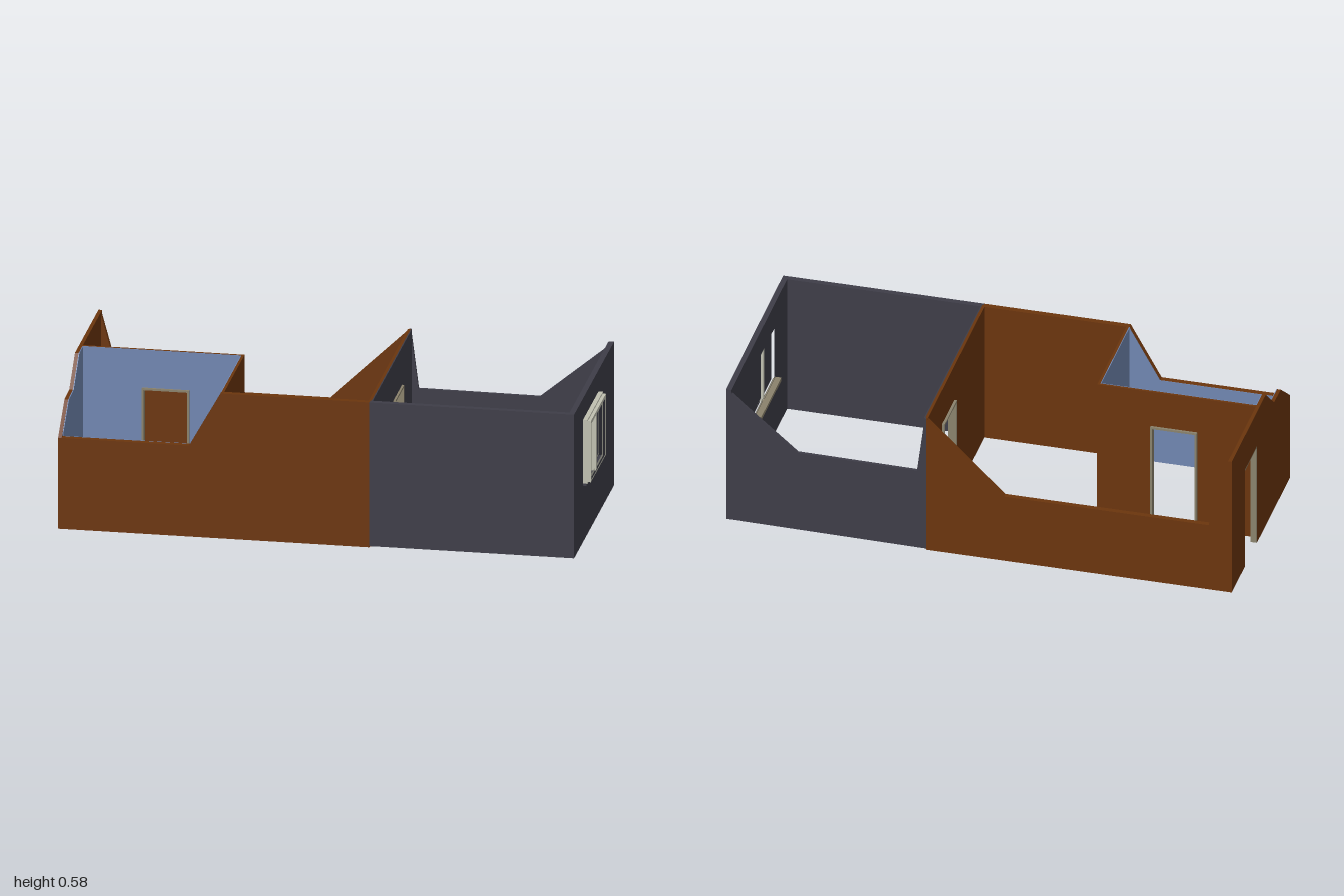
import * as THREE from 'three';

export function createModel() {
  const model = new THREE.Group();
  model.name = 'ruinedHouse';

  const mat = (name, color) => {
    const m = new THREE.MeshStandardMaterial({ color });
    m.name = name;
    return m;
  };
  const brown = mat('brownWall', 0x6b350d);
  const dark = mat('darkWall', 0x3e3d48);
  const blue = mat('bluePlaster', 0x7086b0);
  const pale = mat('paleFrame', 0xc0c0b0);
  const tan = mat('tanTrim', 0x8a826c);

  const H = 0.577, Z = 0.427, DOOR = 0.427;

  const add = (name, geometry, material) => {
    const mesh = new THREE.Mesh(geometry, material);
    mesh.name = name;
    model.add(mesh);
    return mesh;
  };

  // Box given by its minimum and maximum corners
  const box = (name, material, x0, x1, y0, y1, z0, z1) => {
    const g = new THREE.BoxGeometry(x1 - x0, y1 - y0, z1 - z0);
    g.translate((x0 + x1) / 2, (y0 + y1) / 2, (z0 + z1) / 2);
    return add(name, g, material);
  };

  const slab = (points, depth, holes = []) => {
    const toVec = (list) => list.map(([u, v]) => new THREE.Vector2(u, v));
    const shape = new THREE.Shape(toVec(points));
    for (const h of holes) shape.holes.push(new THREE.Path(toVec(h)));
    return new THREE.ExtrudeGeometry(shape, { depth, bevelEnabled: false });
  };

  // Wall running along x: outline of [x, y], from z0 to z1
  const wallX = (name, material, points, z0, z1) =>
    add(name, slab(points, z1 - z0).translate(0, 0, z0), material);

  // Wall running along z: outline of [z, y], from x0 to x1
  const wallZ = (name, material, points, x0, x1, holes = []) => {
    const flip = (list) => list.map(([z, y]) => [-z, y]);
    const g = slab(flip(points), x1 - x0, holes.map(flip));
    return add(name, g.rotateY(Math.PI / 2).translate(x0, 0, 0), material);
  };

  const rect = (a, b, y0, y1) => [[a, y0], [b, y0], [b, y1], [a, y1]];
  // Bottom edge of a wall interrupted by a doorway from d0 to d1
  const doorway = (a, d0, d1, b) =>
    [[a, 0], [d0, 0], [d0, DOOR], [d1, DOOR], [d1, 0], [b, 0]];

  // Front wall, with the broken corner on the brown part
  wallX('frontWallBrown', brown,
    [[-1, 0], [0.19, 0], [0.19, H], [-0.38, H], [-0.5, 0.362], [-1, 0.362]], Z - 0.022, Z);
  box('frontWallDark', dark, 0.19, 0.97, 0.005, H, Z - 0.022, Z);

  // Back wall, broken down in the middle of both parts
  wallX('backWallBrown', brown,
    [[-1, 0], [0.19, 0], [0.19, H], [-0.115, 0.283], [-0.91, 0.283], [-0.99, H], [-1, H]],
    -Z, -Z + 0.02);
  const backDark = wallX('backWallDark', dark,
    [[0.19, 0.005], [0.97, 0.005], [0.97, H], [0.69, 0.343], [0.225, 0.343], [0.195, H], [0.19, H]],
    -Z, -Z + 0.012);
  // The dark part runs slightly askew
  const p = backDark.geometry.attributes.position;
  for (let i = 0; i < p.count; i++) p.setZ(i, p.getZ(i) + 0.013 * (p.getX(i) - 0.19) / 0.78);
  backDark.geometry.computeVertexNormals();

  // Left-hand end wall with door and crumbled top
  const crumble = [[0.29, 0.468], [0.19, 0.472], [0.07, H]];
  wallZ('endWallBrown', brown,
    [...doorway(-Z, -0.235, -0.055, Z), [Z, 0.362], ...crumble, [-Z, H]], -1, -0.986);

  // Window end wall
  const opening = rect(-0.068, 0.218, 0.25, 0.472);
  wallZ('endWallDark', dark, rect(-Z + 0.012, Z, 0.005, H), 0.95, 0.971, [opening]);

  // Dividing wall: brown on one side, dark on the other
  const divider = [...doorway(-Z + 0.006, -0.21, -0.035, Z - 0.01), [Z - 0.01, H], [-Z + 0.006, H]];
  wallZ('dividingWall', brown, divider, 0.184, 0.195);
  wallZ('dividingWallDarkFace', dark, divider, 0.195, 0.199);

  // Small room walls
  const roomBack = [...doorway(-0.99, -0.755, -0.58, -0.37), [-0.37, H], [-0.99, H]];
  wallX('roomBackWall', brown, roomBack, -0.022, -0.012);
  box('roomSideWall', brown, -0.379, -0.369, 0, H, -0.022, Z - 0.01);

  // Blue plaster inside the small room
  const inner = Z - 0.022;
  wallX('roomBackPlaster', blue,
    [...doorway(-0.986, -0.755, -0.58, -0.379), [-0.379, H], [-0.986, H]], -0.012, -0.009);
  box('roomSidePlaster', blue, -0.382, -0.379, 0, H, -0.01, inner);
  wallZ('roomEndPlaster', blue,
    [[-0.01, 0], [inner, 0], [inner, 0.378], ...crumble, [-0.01, H]], -0.986, -0.983);
  wallX('roomFrontPlaster', blue,
    [[-0.986, 0], [-0.38, 0], [-0.38, H], [-0.5, 0.362], [-0.986, 0.362]], inner - 0.003, inner);

  // Door frames: two jambs and a head, thicker than the wall
  const frameProfile = (a, b) => {
    const t = 0.008;
    return [[a, 0], [a + t, 0], [a + t, DOOR - t], [b - t, DOOR - t], [b - t, 0],
      [b, 0], [b, DOOR], [a, DOOR]];
  };
  wallZ('endDoorFrame', tan, frameProfile(-0.238, -0.052), -0.999, -0.975);
  wallZ('dividerDoorFrame', tan, frameProfile(-0.213, -0.032), 0.174, 0.207);
  wallX('roomDoorFrame', tan, frameProfile(-0.758, -0.577), -0.031, -0.001);

  // Window: outer casing, sash, mullion, dark panes and inside sill
  wallZ('windowCasing', pale, rect(-0.088, 0.239, 0.237, 0.492), 0.968, 0.988, [opening]);
  wallZ('windowCasingLip', pale, rect(-0.083, 0.234, 0.243, 0.486), 0.988, 1, [opening]);
  wallZ('windowSash', pale, opening, 0.953, 0.976, [rect(-0.062, 0.212, 0.256, 0.466)]);
  box('windowMullion', pale, 0.953, 0.992, 0.238, 0.472, 0.065, 0.086);
  box('windowPanes', dark, 0.962, 0.968, 0.252, 0.47, -0.066, 0.216);
  box('outerSill', dark, 0.968, 0.985, 0.23, 0.238, -0.09, 0.241);
  box('innerSill', tan, 0.927, 0.955, 0.234, 0.248, -0.09, 0.235);

  return model;
}
